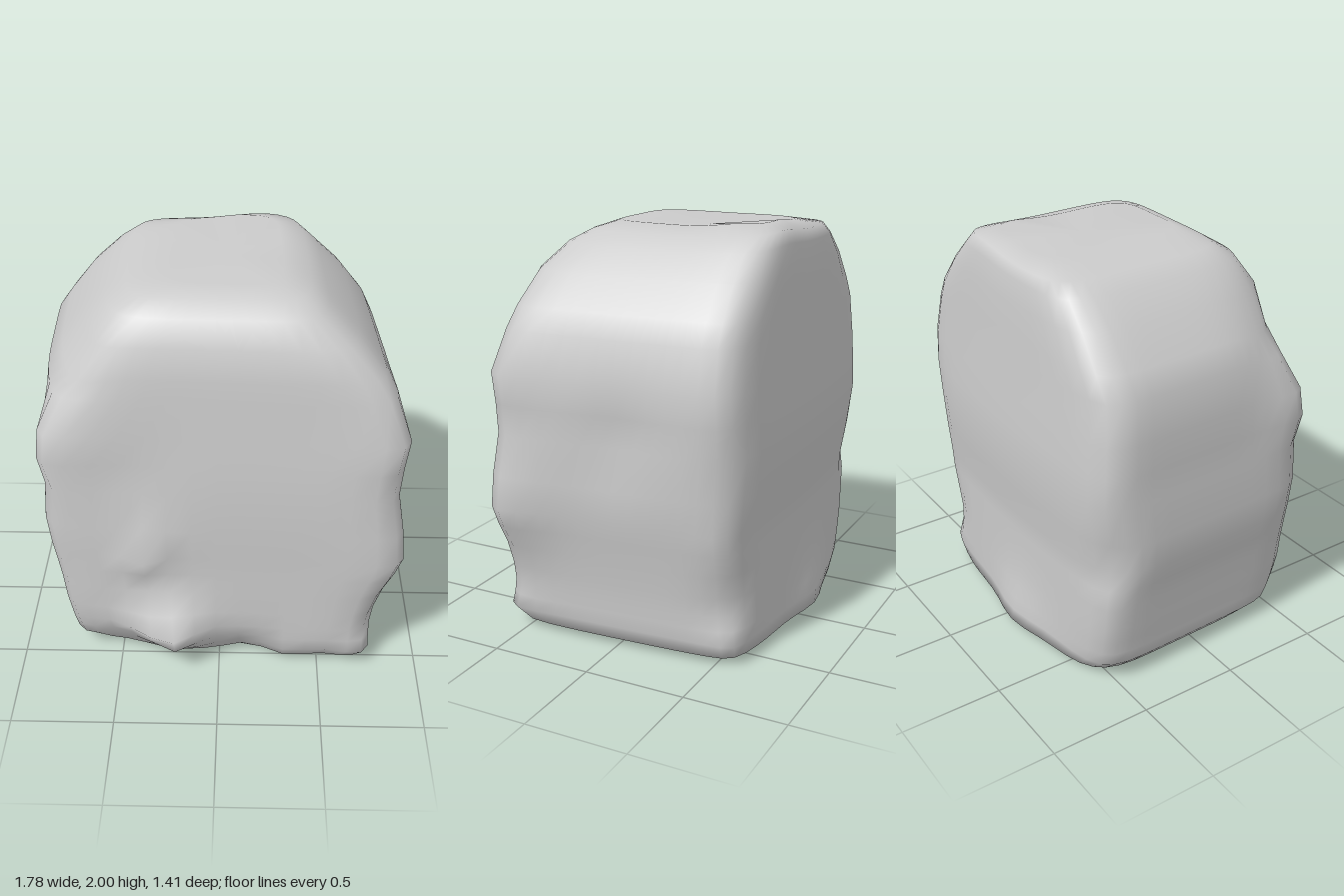
import * as THREE from 'three';

// Horizontal sections: y, x min, x max, z back, z front, squareness
const SECTIONS = [
  [0.01, -0.35, 0.35, -0.3, 0.3, 5],
  [0.01, -0.62, 0.65, -0.54, 0.46, 5],
  [0.04, -0.72, 0.74, -0.65, 0.51, 6],
  [0.11, -0.78, 0.76, -0.65, 0.55, 8],
  [0.18, -0.79, 0.765, -0.65, 0.565, 9],
  [0.25, -0.8, 0.77, -0.65, 0.57, 10],
  [0.34, -0.815, 0.78, -0.65, 0.57, 11],
  [0.46, -0.83, 0.8, -0.65, 0.57, 11],
  [0.57, -0.85, 0.82, -0.65, 0.57, 11],
  [0.67, -0.87, 0.84, -0.65, 0.57, 11],
  [0.83, -0.89, 0.86, -0.675, 0.575, 11],
  [1.03, -0.87, 0.86, -0.69, 0.57, 11],
  [1.18, -0.87, 0.865, -0.685, 0.56, 11],
  [1.33, -0.865, 0.87, -0.675, 0.545, 11],
  [1.53, -0.845, 0.82, -0.66, 0.525, 10],
  [1.63, -0.775, 0.77, -0.655, 0.515, 9],
  [1.78, -0.66, 0.645, -0.645, 0.49, 7],
  [1.89, -0.54, 0.51, -0.63, 0.42, 6],
  [1.945, -0.45, 0.43, -0.61, 0.33, 6],
  [1.98, -0.24, 0.3, -0.52, 0.24, 5],
];

// Bumps and hollows: centre, radius, push
const DENTS = [
  [[-0.22, 0.22, 0.56], 0.12, [0.01, 0, 0.15]],    // knob low on the front
  [[-0.38, 0.27, 0.55], 0.1, [0, 0, 0.08]],
  [[-0.36, 0.66, 0.55], 0.08, [0, 0, 0.07]],       // small ridge above it
  [[0.13, 0.06, 0.54], 0.13, [0, 0, -0.06]],       // notches under the front
  [[-0.5, 0.08, 0.54], 0.16, [0, 0, -0.05]],
  [[0.35, 0.08, 0.54], 0.1, [0, 0, 0.03]],
  [[0.72, 0.05, 0.5], 0.13, [0.03, 0, 0.09]],      // sharp foot corner
  [[0.68, 0.07, -0.6], 0.12, [0.04, 0, -0.03]],
  [[-0.1, 0.06, -0.65], 0.2, [0, 0, -0.05]],       // flared back foot
  [[0.82, 0.67, 0.53], 0.2, [0.07, 0, 0.03]],      // front left corner
  [[0.83, 1.35, 0.52], 0.18, [0.03, 0, 0.03]],
  [[-0.8, 1.25, 0.48], 0.16, [-0.05, 0, 0.03]],    // front right corner
  [[-0.72, 1.64, 0.45], 0.22, [0.05, -0.05, -0.03]],
  [[0.76, 0.93, -0.6], 0.13, [-0.04, 0, 0.03]],    // back corners
  [[0.7, 0.32, -0.6], 0.16, [-0.03, 0, 0.02]],
  [[-0.84, 0.73, -0.6], 0.11, [0.07, 0, 0.04]],
  [[-0.45, 1.1, 0.56], 0.2, [0, 0, -0.03]],        // hollows in the faces
  [[0.83, 1.05, -0.05], 0.18, [-0.03, 0, 0]],
  [[0.2, 1.97, -0.52], 0.2, [0, 0.035, 0]],        // raised crest
  [[0.05, 1.97, -0.15], 0.15, [0, -0.03, 0]],
];

const PER_SIDE = 14;
const COUNT = PER_SIDE * 4;

// Point on a unit rounded square, turning from +x towards +z
function ringPoint(i, power) {
  const side = Math.floor(i / PER_SIDE);
  const t = (i % PER_SIDE) / PER_SIDE * 2 - 1;
  const [u, v] = [[1, t], [-t, 1], [-1, -t], [t, -1]][side];
  const k = (Math.abs(u) ** power + Math.abs(v) ** power) ** (-1 / power);
  return [u * k, v * k];
}

function shape(p) {
  // One side narrows to the back, the other to the front
  const depth = THREE.MathUtils.clamp(p.z / 0.55, -1, 1);
  p.x *= p.x > 0 ? 0.96 + 0.045 * depth : 0.98 - 0.02 * depth;
  // The front slants and the back bulges
  p.z *= p.z > 0 ? 1 + 0.08 * p.x : 1 - 0.08 * (p.x / 0.85) ** 2;
  const start = p.clone();
  for (const [centre, radius, push] of DENTS) {
    const d = start.distanceTo(new THREE.Vector3(...centre)) / radius;
    p.addScaledVector(new THREE.Vector3(...push), Math.exp(-d * d));
  }
  p.y = THREE.MathUtils.clamp(p.y, 0, 2);
  return p;
}

function boulderGeometry() {
  const positions = [], index = [];
  const add = (x, y, z) => positions.push(...shape(new THREE.Vector3(x, y, z)).toArray());
  for (const [y, x0, x1, z0, z1, power] of SECTIONS) {
    for (let i = 0; i < COUNT; i++) {
      const [u, v] = ringPoint(i, power);
      add((x0 + x1) / 2 + u * (x1 - x0) / 2, y, (z0 + z1) / 2 + v * (z1 - z0) / 2);
    }
  }
  const last = SECTIONS.length - 1;
  const bottom = SECTIONS.length * COUNT, top = bottom + 1;
  add(0, 0.005, 0);
  add(0.05, 1.985, -0.14);
  for (let i = 0; i < COUNT; i++) {
    const j = (i + 1) % COUNT;
    for (let r = 0; r < last; r++) {
      const a = r * COUNT + i, b = r * COUNT + j;
      index.push(a, a + COUNT, b, b, a + COUNT, b + COUNT);
    }
    index.push(bottom, i, j, top, last * COUNT + j, last * COUNT + i);
  }
  const geometry = new THREE.BufferGeometry();
  geometry.setAttribute('position', new THREE.Float32BufferAttribute(positions, 3));
  geometry.setIndex(index);
  geometry.computeVertexNormals();
  return geometry;
}

export function createModel() {
  const group = new THREE.Group();
  const boulder = new THREE.Mesh(
    boulderGeometry(),
    new THREE.MeshStandardMaterial({ color: 0xcccccc }),
  );
  boulder.name = 'boulder';
  group.add(boulder);
  return group;
}
